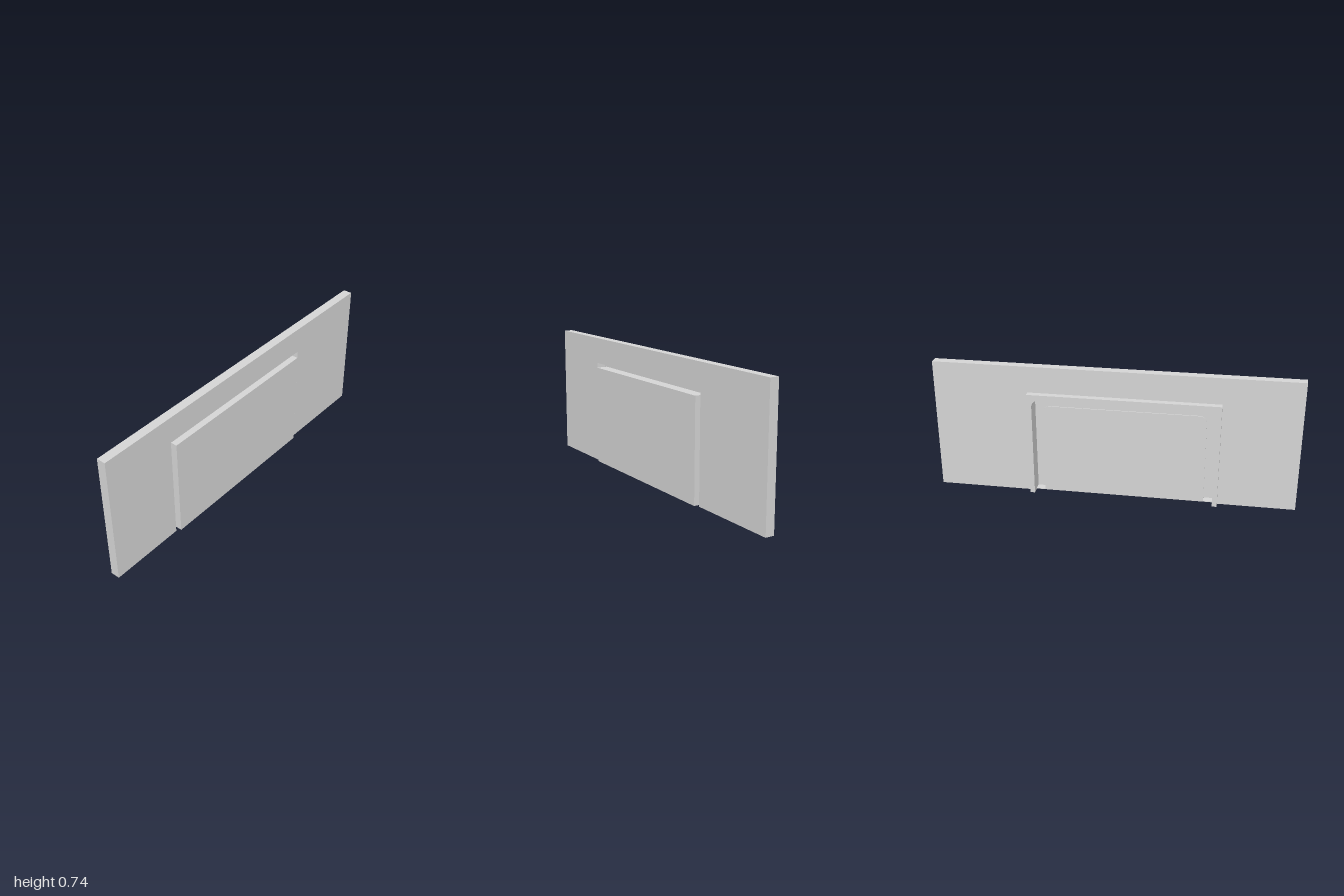
import * as THREE from 'three';

const CX = -0.0505; // centre line of the doorway

// Upside-down U outline: square outside, inside rounded by r, open at the floor
function archShape(x0, x1, top, inX0, inX1, inTop, r) {
  const s = new THREE.Shape();
  s.moveTo(x0, 0);
  s.lineTo(inX0, 0);
  s.lineTo(inX0, inTop - r);
  if (r > 0) s.absarc(inX0 + r, inTop - r, r, Math.PI, Math.PI / 2, true);
  s.lineTo(inX1 - r, inTop);
  if (r > 0) s.absarc(inX1 - r, inTop - r, r, Math.PI / 2, 0, true);
  s.lineTo(inX1, 0);
  s.lineTo(x1, 0);
  s.lineTo(x1, top);
  s.lineTo(x0, top);
  s.closePath();
  return s;
}

// Slab standing on the floor with rounded upper corners
function slabShape(half, top, r) {
  const s = new THREE.Shape();
  s.moveTo(CX - half, 0);
  s.lineTo(CX + half, 0);
  s.lineTo(CX + half, top - r);
  s.absarc(CX + half - r, top - r, r, 0, Math.PI / 2, false);
  s.lineTo(CX - half + r, top);
  s.absarc(CX - half + r, top - r, r, Math.PI / 2, Math.PI, false);
  s.closePath();
  return s;
}

export function createModel() {
  const model = new THREE.Group();
  model.name = 'wallWithDoor';
  const grey = new THREE.MeshStandardMaterial({ color: 0xd4d4d4 });
  grey.name = 'light grey';

  const addMesh = (name, geo) => {
    const mesh = new THREE.Mesh(geo, grey);
    mesh.name = name;
    model.add(mesh);
  };
  const addSlab = (name, shape, z0, z1) => {
    const geo = new THREE.ExtrudeGeometry(shape, { depth: z1 - z0, bevelEnabled: false, curveSegments: 10 });
    addMesh(name, geo.translate(0, 0, z0));
  };
  const addBox = (name, half, top, z0, z1) => {
    const geo = new THREE.BoxGeometry(2 * half, top, z1 - z0);
    addMesh(name, geo.translate(CX, top / 2, (z0 + z1) / 2));
  };

  const gap = 0.525;   // half width of the wall opening
  const door = 0.503;  // half width of the door
  const inner = 0.498; // half width of the door recess
  const innerTop = 0.566;

  // Wall with a square doorway
  addSlab('wall', archShape(-1, 1, 0.744, CX - gap, CX + gap, 0.596, 0), -0.015, 0.035);
  // Flange behind the doorway
  addSlab('backFlange', archShape(CX - gap, CX + gap, 0.596, CX - inner, CX + inner, innerTop, 0.04), -0.05, -0.015);
  // Thin door rim running from the flange to the front sheet
  addSlab('doorRim', archShape(CX - door, CX + door, 0.572, CX - inner, CX + inner, innerTop, 0.04), -0.015, 0.038);
  // Front sheet of the door and the thin sill closing it below
  addBox('doorFront', door, 0.572, 0.038, 0.05);
  addBox('doorSill', inner, 0.004, -0.004, 0.038);
  // Inner sheet of the door, standing on the sill inside the rim
  addSlab('doorInnerSheet', slabShape(inner - 0.05, innerTop - 0.05, 0.04), -0.004, 0.002);

  return model;
}
